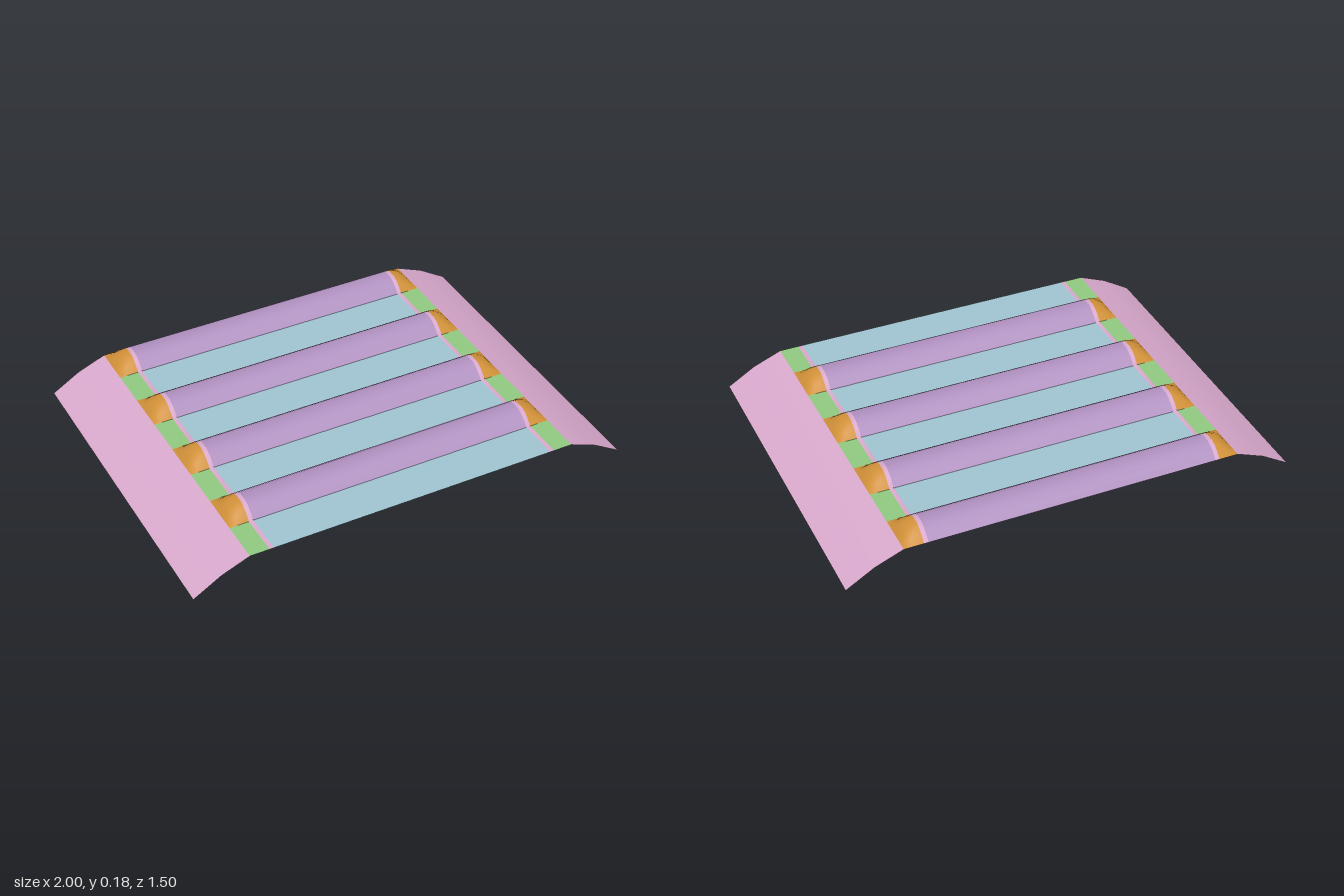
import * as THREE from 'three';

const DECK = 0.125, END = 0.75, PITCH = 0.375, HALF = 0.094;
// Half-round ridge profile: offset from the ridge centre, height over the deck
const HUMP = [[-HALF, 0], [-0.065, 0.028], [-0.045, 0.042], [-0.02, 0.052], [0.02, 0.052], [0.045, 0.042], [0.065, 0.028], [HALF, 0]];
const CENTRES = [0, 1, 2, 3].map(i => -0.656 + i * PITCH);

const paint = color => new THREE.MeshStandardMaterial({ color, side: THREE.DoubleSide });
const pink = paint(0xd8a8cc), blue = paint(0x9fc3d0), purple = paint(0xb090c0);
const orange = paint(0xd09038), green = paint(0x90c880);

// Open sheet: rows [z, h] along z, stations [x, baseY, scale of h] along x
function sheet(name, rows, stations, material) {
  const cols = [...stations].sort((a, b) => a[0] - b[0]);
  const n = cols.length, pos = [], idx = [];
  for (const [z, h] of rows) for (const [x, y, s] of cols) pos.push(x, y + s * h, z);
  for (let i = 0; i < rows.length - 1; i++) {
    for (let j = 0; j < n - 1; j++) {
      const a = i * n + j, b = a + n;
      idx.push(a, b, a + 1, a + 1, b, b + 1);
    }
  }
  const geo = new THREE.BufferGeometry();
  geo.setAttribute('position', new THREE.Float32BufferAttribute(pos, 3));
  geo.setIndex(idx);
  geo.computeVertexNormals();
  const mesh = new THREE.Mesh(geo, material);
  mesh.name = name;
  return mesh;
}

export function createModel() {
  const group = new THREE.Group();
  group.name = 'ribbedPanel';
  const add = (...args) => group.add(sheet(...args));
  const flat = (x0, x1) => [[x0, DECK, 0], [x1, DECK, 0]];
  const raised = (x0, x1) => [[x0, DECK, 1], [x1, DECK, 1]];
  const humpRows = c => HUMP.map(([d, h]) => [c + d, h]);
  const fullRows = [...CENTRES.flatMap(humpRows), [END, 0]];

  // Ridges and the flat valleys in front of them
  CENTRES.forEach((c, i) => {
    const valley = [[c + HALF, 0], [i < 3 ? c + PITCH - HALF : END, 0]];
    add('ridge' + i, humpRows(c), raised(-0.645, 0.645), purple);
    add('valley' + i, valley, flat(-0.645, 0.645), blue);
    for (const s of [-1, 1]) {
      const side = s > 0 ? 'Left' : 'Right';
      // Rounded ends close each ridge down to the deck edge
      const cap = [[0.664, 1], [0.685, 0.95], [0.71, 0.72], [0.73, 0.42], [0.75, 0]];
      add('ridgeEnd' + side + i, humpRows(c), cap.map(([x, k]) => [s * x, DECK, k]), orange);
      add('shoulder' + side + i, valley, flat(s * 0.664, s * 0.75), green);
    }
  });

  // Trim bands that follow the ridges, and sloping side skirts
  for (const s of [-1, 1]) {
    const side = s > 0 ? 'Left' : 'Right';
    add('trim' + side, fullRows, raised(s * 0.645, s * 0.664), pink);
    const slope = [[0.75, DECK], [0.875, 0.075], [1, 0]];
    add('skirt' + side, [[-END, 0], [END, 0]], slope.map(([x, y]) => [s * x, y, 0]), pink);
  }
  return group;
}
